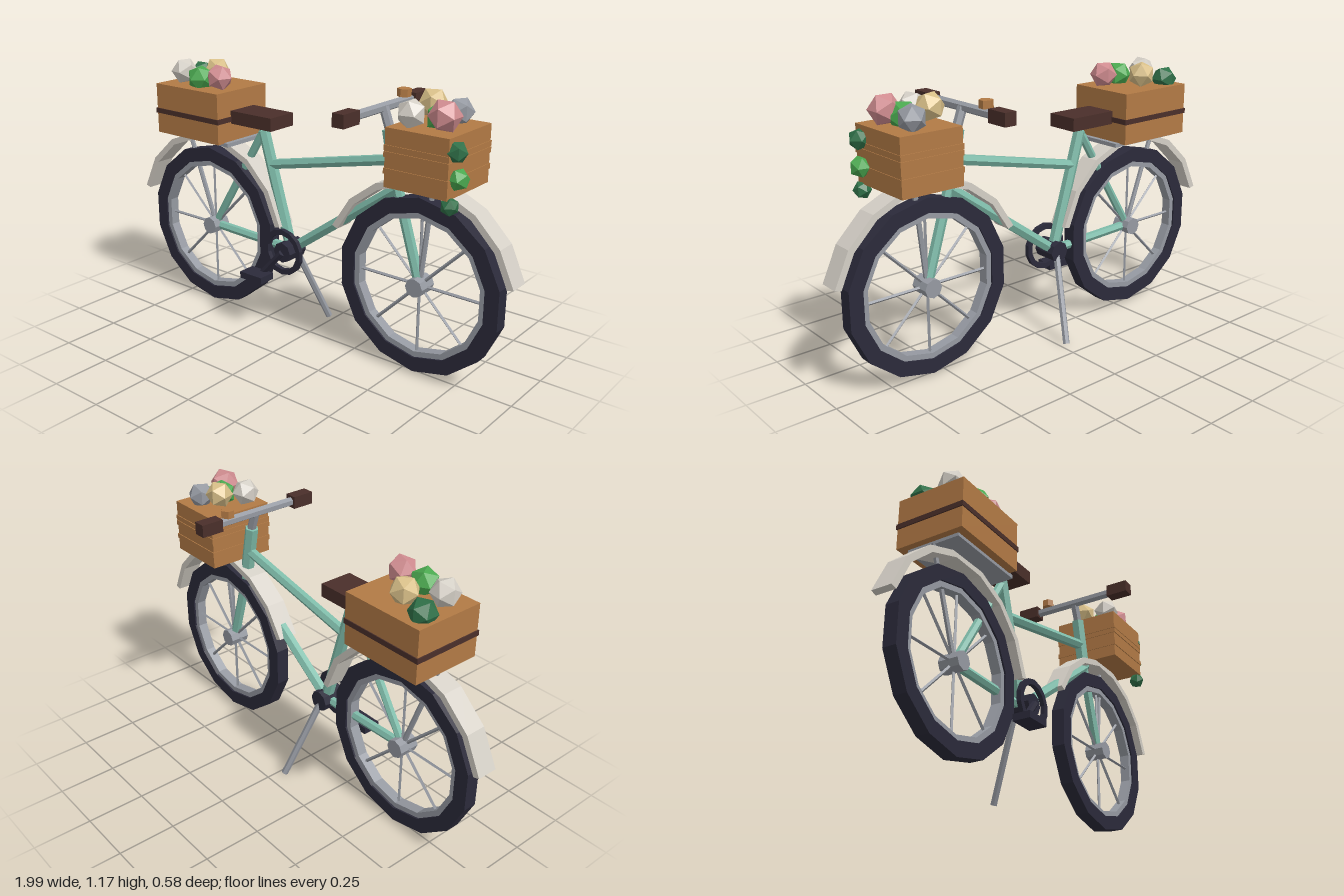
import * as THREE from 'three';

const mat = (name, color) => {
  const m = new THREE.MeshStandardMaterial({ color, flatShading: true });
  m.name = name;
  return m;
};

export function createModel() {
  const M = {
    teal: mat('teal paint', 0x7fbcaa),
    rubber: mat('dark rubber', 0x2b2a3a),
    metal: mat('grey metal', 0x969aa2),
    cream: mat('cream', 0xd4cfc6),
    wood: mat('crate wood', 0xb27a45),
    leather: mat('brown leather', 0x4a2f2a),
    pink: mat('pink petals', 0xd08c90),
    yellow: mat('yellow petals', 0xd8bf88),
    green: mat('green leaves', 0x4aa84f),
    darkGreen: mat('dark green leaves', 0x2f7048),
  };
  const root = new THREE.Group();
  root.name = 'bicycle';

  const add = (name, geo, m, pos = [0, 0, 0], parent = root) => {
    const mesh = new THREE.Mesh(geo, m);
    mesh.name = name;
    mesh.position.set(...pos);
    parent.add(mesh);
    return mesh;
  };
  const box = (name, m, x0, x1, y0, y1, z0, z1) =>
    add(name, new THREE.BoxGeometry(x1 - x0, y1 - y0, z1 - z0), m,
      [(x0 + x1) / 2, (y0 + y1) / 2, (z0 + z1) / 2]);
  // straight tube between two points
  const rod = (name, m, a, b, r, sides = 6, parent = root) => {
    const A = new THREE.Vector3(...a), B = new THREE.Vector3(...b);
    const d = B.clone().sub(A);
    const mesh = add(name, new THREE.CylinderGeometry(r, r, d.length(), sides), m,
      A.add(B).multiplyScalar(0.5).toArray(), parent);
    mesh.quaternion.setFromUnitVectors(new THREE.Vector3(0, 1, 0), d.normalize());
    return mesh;
  };
  const arc = (r, a0, a1, n) => Array.from({ length: n + 1 }, (_, i) => {
    const a = a0 + (a1 - a0) * i / n;
    return new THREE.Vector2(Math.cos(a) * r, Math.sin(a) * r);
  });
  const extrude = (shape, depth) =>
    new THREE.ExtrudeGeometry(shape, { depth, bevelEnabled: false }).translate(0, 0, -depth / 2);
  const ring = (ro, ri, depth, n) => {
    const start = Math.PI / 2, end = start + Math.PI * 2;
    const s = new THREE.Shape(arc(ro, start, end, n).slice(0, n));
    s.holes.push(new THREE.Path(arc(ri, start, end, n).slice(0, n)));
    return extrude(s, depth);
  };

  // Wheels and fenders
  const axleY = 0.388;
  const wheel = (name, x, from, to) => {
    const g = new THREE.Group();
    g.name = name;
    g.position.set(x, axleY, 0);
    root.add(g);
    add('tyre', ring(0.375, 0.312, 0.06, 14), M.rubber, [0, 0, 0], g);
    add('rim', ring(0.316, 0.288, 0.045, 14), M.metal, [0, 0, 0], g);
    rod('hub', M.metal, [0, 0, -0.045], [0, 0, 0.045], 0.04, 8, g);
    for (let i = 0; i < 8; i++) {
      const a = i * Math.PI / 4;
      rod('spoke', M.metal, [0, 0, 0], [Math.cos(a) * 0.3, Math.sin(a) * 0.3, 0], 0.007, 4, g);
    }
    const a0 = THREE.MathUtils.degToRad(from), a1 = THREE.MathUtils.degToRad(to);
    const outline = [...arc(0.443, a0, a1, 7), ...arc(0.415, a1, a0, 7)];
    add('fender', extrude(new THREE.Shape(outline), 0.09), M.cream, [0, 0, 0], g);
  };
  wheel('rearWheel', -0.567, 12, 165);
  wheel('frontWheel', 0.565, 14.5, 157);

  // Frame
  const crank = [-0.104, 0.375, 0], rear = [-0.567, axleY, 0], front = [0.565, axleY, 0];
  const seatTop = [-0.255, 0.89, 0], headTop = [0.4, 1.0, 0], headLow = [0.447, 0.77, 0];
  rod('seatTube', M.teal, crank, seatTop, 0.026);
  rod('topTube', M.teal, [-0.21, 0.745, 0], [0.42, 0.882, 0], 0.023);
  rod('downTube', M.teal, crank, headLow, 0.025);
  rod('headTube', M.teal, headTop, headLow, 0.03);
  rod('fork', M.teal, headLow, front, 0.022);
  rod('chainStay', M.teal, crank, rear, 0.02);
  rod('seatStay', M.teal, seatTop, rear, 0.018);

  // Saddle and handlebar
  box('seat', M.leather, -0.385, -0.152, 0.913, 0.97, -0.073, 0.073);
  rod('stem', M.metal, [0.405, 0.99, 0], [0.37, 1.085, 0], 0.02);
  rod('handlebar', M.metal, [0.367, 1.083, -0.25], [0.367, 1.083, 0.25], 0.02);
  for (const s of [-1, 1]) {
    const z = [s * 0.19, s * 0.29].sort((a, b) => a - b);
    box('grip', M.leather, 0.34, 0.394, 1.056, 1.11, z[0], z[1]);
  }
  add('bell', new THREE.CylinderGeometry(0.029, 0.029, 0.032, 6), M.wood, [0.367, 1.118, -0.145]);

  // Drive train and kickstand
  rod('bottomBracket', M.rubber, [-0.104, 0.375, -0.045], [-0.104, 0.375, 0.065], 0.046, 8);
  add('chainring', ring(0.105, 0.081, 0.02, 14), M.rubber, [-0.104, 0.378, 0.056]);
  rod('crankArm', M.rubber, [-0.104, 0.375, 0.066], [-0.205, 0.262, 0.078], 0.016);
  box('pedal', M.rubber, -0.275, -0.152, 0.24, 0.27, 0.072, 0.152);
  rod('kickstand', M.metal, [-0.1, 0.36, -0.03], [-0.028, 0.006, -0.177], 0.015);

  // Racks
  box('rearRack', M.metal, -0.73, -0.36, 0.818, 0.835, -0.12, 0.12);
  rod('rearRackStrut', M.metal, [-0.725, 0.825, 0], rear, 0.011);
  rod('frontRackStrut', M.metal, [0.61, 0.825, 0], front, 0.011);

  // Crates with bands
  box('rearCrate', M.wood, -0.758, -0.382, 0.832, 1.055, -0.155, 0.155);
  box('rearCrateBand', M.leather, -0.763, -0.377, 0.922, 0.944, -0.159, 0.159);
  box('frontCrate', M.wood, 0.482, 0.757, 0.82, 1.052, -0.151, 0.151);
  for (const y of [0.885, 0.95, 0.975])
    box('frontCrateSlat', M.wood, 0.479, 0.76, y - 0.011, y + 0.011, -0.155, 0.155);

  // Flowers: colour, x, y, z, radius
  const flowers = [
    ['darkGreen', -0.7, 1.075, -0.08, 0.058],
    ['yellow', -0.58, 1.105, -0.052, 0.06],
    ['cream', -0.685, 1.105, 0.047, 0.06],
    ['green', -0.56, 1.09, 0.073, 0.06],
    ['pink', -0.455, 1.105, 0.06, 0.06],
    ['yellow', 0.558, 1.12, -0.053, 0.06],
    ['metal', 0.658, 1.095, -0.083, 0.058],
    ['cream', 0.548, 1.1, 0.08, 0.06],
    ['green', 0.635, 1.085, 0.012, 0.062],
    ['pink', 0.682, 1.108, 0.062, 0.066],
    ['darkGreen', 0.766, 0.998, 0.113, 0.044],
    ['green', 0.774, 0.895, 0.103, 0.044],
    ['darkGreen', 0.757, 0.795, 0.128, 0.037],
  ];
  flowers.forEach(([c, x, y, z, r], i) => {
    const f = add(i < 10 ? 'flower' : 'trailingLeaf', new THREE.IcosahedronGeometry(r, 0), M[c], [x, y, z]);
    f.rotation.y = i * 0.7;
  });

  return root;
}
